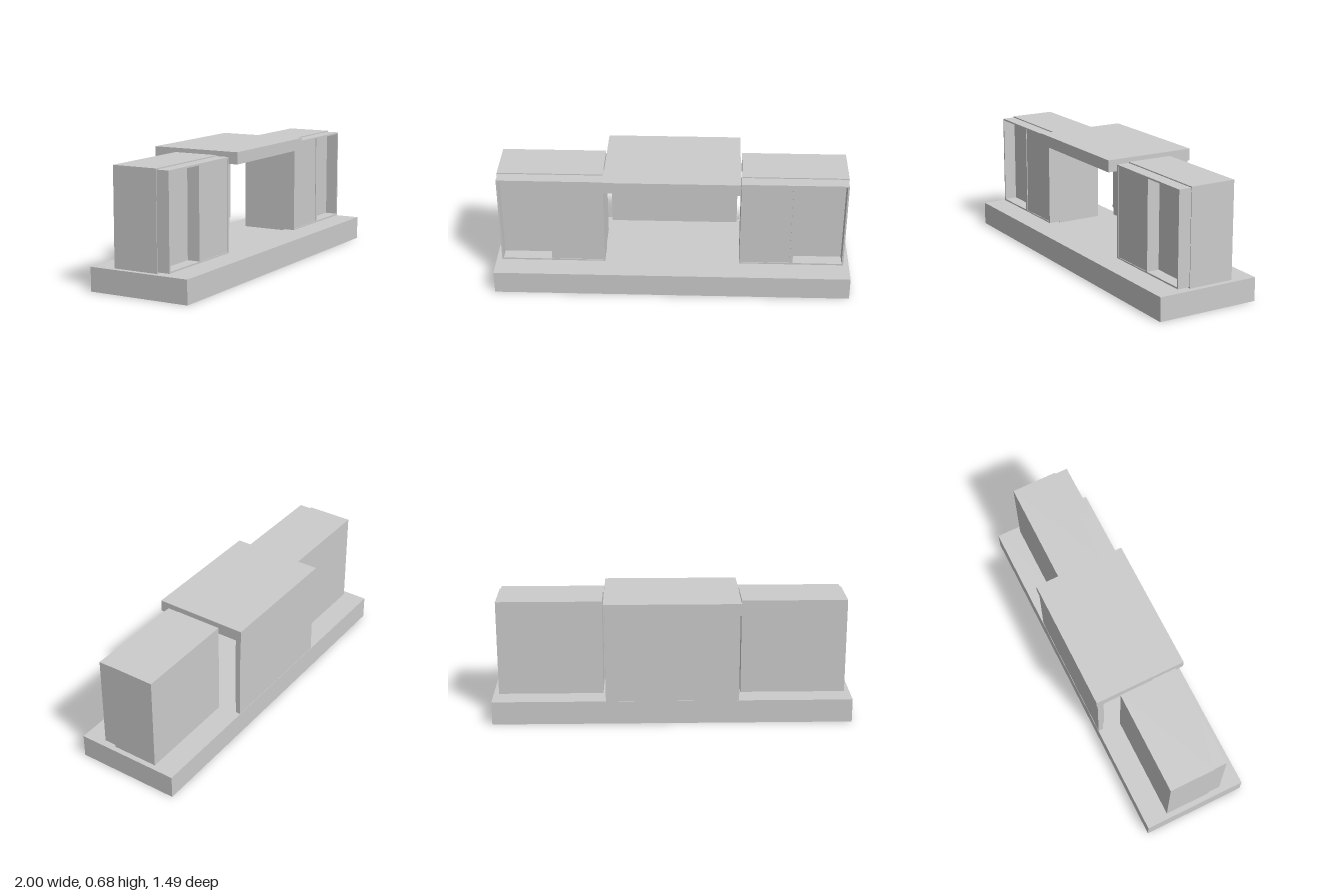
import * as THREE from 'three';

const material = new THREE.MeshStandardMaterial({ color: 0xcccccc });

// Box given by its extents along each axis
function box(name, x0, x1, y0, y1, z0, z1) {
  const mesh = new THREE.Mesh(new THREE.BoxGeometry(x1 - x0, y1 - y0, z1 - z0), material);
  mesh.position.set((x0 + x1) / 2, (y0 + y1) / 2, (z0 + z1) / 2);
  mesh.name = name;
  return mesh;
}

// Rectangular rim with an opening through its full depth
function rim(name, x0, x1, y0, y1, z0, z1, t) {
  const shape = new THREE.Shape();
  shape.moveTo(x0, y0).lineTo(x1, y0).lineTo(x1, y1).lineTo(x0, y1).closePath();
  const hole = new THREE.Path();
  hole.moveTo(x0 + t, y0 + t).lineTo(x0 + t, y1 - t).lineTo(x1 - t, y1 - t).lineTo(x1 - t, y0 + t).closePath();
  shape.holes.push(hole);
  const mesh = new THREE.Mesh(
    new THREE.ExtrudeGeometry(shape, { depth: z1 - z0, bevelEnabled: false }), material);
  mesh.position.z = z0;
  mesh.name = name;
  return mesh;
}

// Cabinet with a closed inner bay and an open outer bay; side is +1 or -1
function cabinet(side) {
  const group = new THREE.Group();
  group.name = side > 0 ? 'leftCabinet' : 'rightCabinet';
  const span = (a, b) => (side > 0 ? [a, b] : [-b, -a]);
  group.add(
    box('cabinetBody', ...span(0.38, 0.958), 0.13, 0.66, -0.162, 0.096),
    box('closedBay', ...span(0.375, 0.663), 0.138, 0.654, 0.03, 0.163),
    rim('closedBayRim', ...span(0.375, 0.663), 0.138, 0.654, 0.163, 0.167, 0.008),
    rim('openBayRim', ...span(0.663, 0.954), 0.138, 0.654, 0.09, 0.167, 0.009)
  );
  return group;
}

export function createModel() {
  const model = new THREE.Group();
  model.name = 'pavilion';

  // The whole assembly stands turned on its vertical axis
  const assembly = new THREE.Group();
  assembly.name = 'assembly';
  assembly.rotation.y = Math.PI / 6;
  model.add(assembly);

  assembly.add(box('base', -0.987, 0.987, 0, 0.13, -0.291, 0.291));
  assembly.add(cabinet(1), cabinet(-1));

  // Central recess: back wall, raised panel and roof slab
  assembly.add(
    box('backWall', -0.364, 0.364, 0.13, 0.617, -0.289, -0.261),
    box('backPanel', -0.347, 0.347, 0.18, 0.567, -0.262, -0.246),
    box('roof', -0.371, 0.371, 0.617, 0.682, -0.297, 0.218)
  );
  return model;
}
